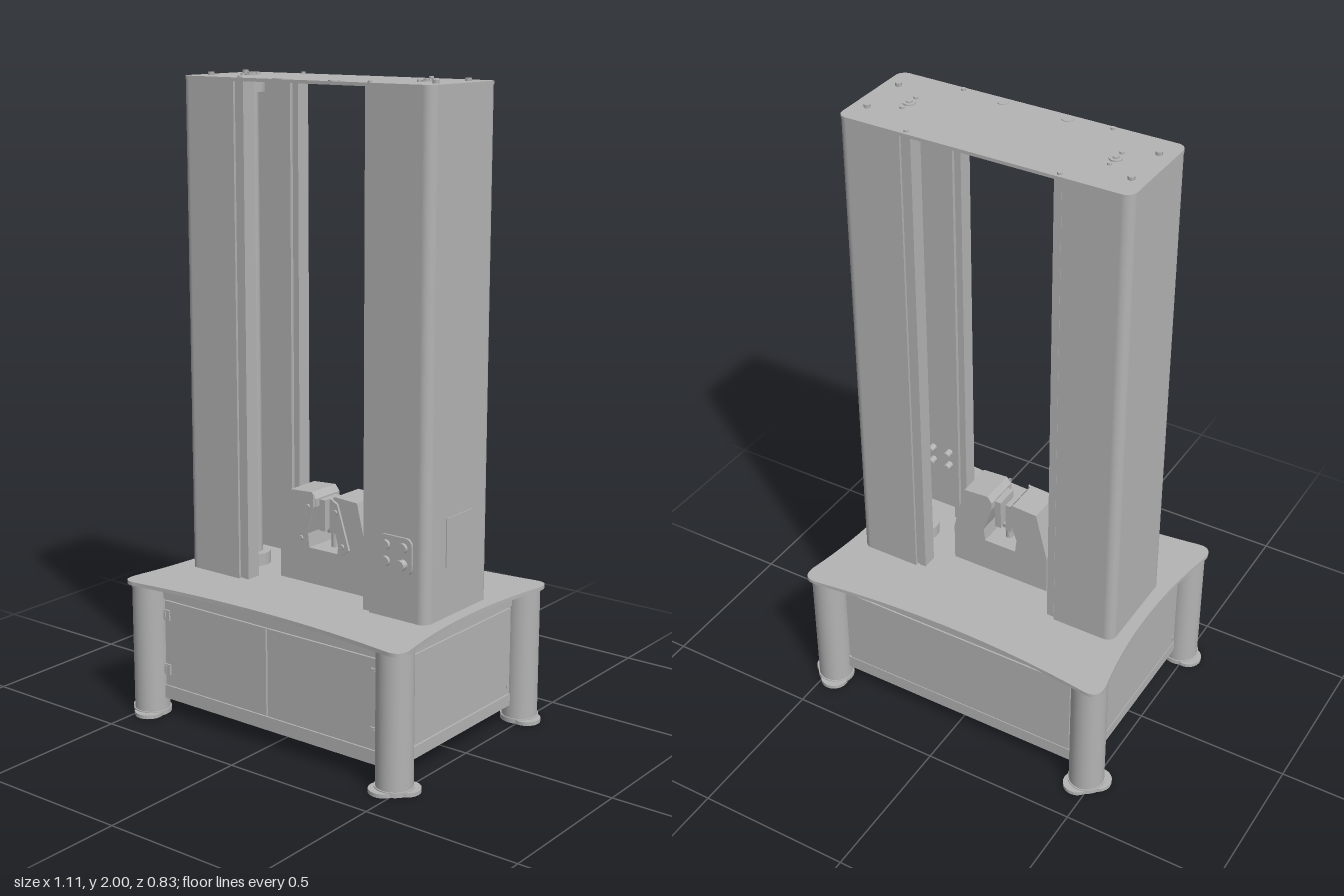
import * as THREE from 'three';

export function createModel() {
  const root = new THREE.Group();
  const grey = new THREE.MeshStandardMaterial({ color: 0xb4b4b4 });
  grey.name = 'machineGrey';

  const add = (name, geo, x = 0, y = 0, z = 0, parent = root) => {
    const m = new THREE.Mesh(geo, grey);
    m.name = name;
    m.position.set(x, y, z);
    parent.add(m);
    return m;
  };
  const box = (name, w, h, d, x, y, z, parent) => add(name, new THREE.BoxGeometry(w, h, d), x, y, z, parent);
  const cyl = (name, r, h, x, y, z, parent, seg = 24) => add(name, new THREE.CylinderGeometry(r, r, h, seg), x, y, z, parent);
  const knob = (name, r, h, x, y, z, parent) => {
    const m = cyl(name, r, h, x, y, z, parent);
    m.rotation.x = Math.PI / 2;
    return m;
  };
  const extrude = (shape, depth) => new THREE.ExtrudeGeometry(shape, { depth, bevelEnabled: false, curveSegments: 16 });
  const slab = (shape, h) => extrude(shape, h).rotateX(-Math.PI / 2);
  const polygon = pts => new THREE.Shape(pts.map(p => new THREE.Vector2(...p)));
  const roundRect = (w, h, r) => {
    const s = new THREE.Shape(), a = w / 2, b = h / 2, q = Math.PI / 2;
    s.absarc(a - r, b - r, r, 0, q);
    s.absarc(r - a, b - r, r, q, 2 * q);
    s.absarc(r - a, r - b, r, 2 * q, 3 * q);
    s.absarc(a - r, r - b, r, 3 * q, 4 * q);
    s.closePath();
    return s;
  };

  // Table top with four concave edges
  const table = new THREE.Shape();
  table.moveTo(-0.49, 0.395);
  table.quadraticCurveTo(0, 0.325, 0.49, 0.395);
  table.quadraticCurveTo(0.545, 0.4, 0.533, 0.335);
  table.quadraticCurveTo(0.467, 0, 0.533, -0.335);
  table.quadraticCurveTo(0.545, -0.4, 0.49, -0.395);
  table.quadraticCurveTo(0, -0.325, -0.49, -0.395);
  table.quadraticCurveTo(-0.545, -0.4, -0.533, -0.335);
  table.quadraticCurveTo(-0.467, 0, -0.533, 0.335);
  table.quadraticCurveTo(-0.545, 0.4, -0.49, 0.395);
  add('tableTop', slab(table, 0.012), 0, 0.428, 0);

  // Legs with lobed, drilled foot plates
  const lobe = (r, h) => {
    const s = new THREE.Shape();
    s.absarc(0, 0, r, 0, Math.PI * 2);
    const hole = new THREE.Path();
    hole.absarc(0.012, 0, 0.007, 0, Math.PI * 2, true);
    s.holes.push(hole);
    return slab(s, h);
  };
  for (const sx of [-1, 1]) for (const sz of [-1, 1]) {
    const leg = new THREE.Group();
    leg.name = 'leg';
    leg.position.set(sx * 0.477, 0, sz * 0.335);
    root.add(leg);
    cyl('legPost', 0.056, 0.413, 0, 0.2215, 0, leg, 40);
    cyl('footDisc', 0.06, 0.015, 0, 0.0075, 0, leg, 40);
    const side = add('footLobeSide', lobe(0.045, 0.012), sx * 0.033, 0, -sz * 0.012, leg);
    side.rotation.y = sx > 0 ? 0 : Math.PI;
    const end = add('footLobeEnd', lobe(0.045, 0.012), -sx * 0.015, 0, sz * 0.033, leg);
    end.rotation.y = -sz * Math.PI / 2;
  }

  // Cabinet walls, open underneath
  for (const s of [-1, 1]) {
    box('cabinetLongWall', 0.93, 0.373, 0.012, 0, 0.2415, s * 0.322);
    box('cabinetEndWall', 0.012, 0.373, 0.64, s * 0.464, 0.2415, 0);
    box('endPanel', 0.008, 0.28, 0.545, s * 0.472, 0.24, 0);
    box('endTopStrip', 0.008, 0.04, 0.56, s * 0.472, 0.406, 0);
    box('endBottomStrip', 0.008, 0.038, 0.56, s * 0.472, 0.076, 0);
    box('longTopStrip', 0.85, 0.04, 0.008, 0, 0.407, s * 0.331);
    box('longBottomStrip', 0.85, 0.043, 0.008, 0, 0.0765, s * 0.331);
    box('bottomFlange', 0.92, 0.006, 0.04, 0, 0.058, s * 0.3);
    // Underside channel beams
    box('beamWeb', 0.92, 0.01, 0.13, 0, 0.09, s * 0.19);
    for (const e of [-1, 1]) box('beamFlange', 0.92, 0.03, 0.008, 0, 0.075, s * 0.19 + e * 0.061);
    // Doors with hinges
    box('door', 0.411, 0.28, 0.008, s * 0.2085, 0.241, 0.331);
    for (const y of [0.155, 0.335]) {
      box('hingeLeaf', 0.022, 0.034, 0.008, s * 0.404, y, 0.337);
      box('hingePin', 0.008, 0.024, 0.014, s * 0.41, y, 0.337);
    }
    for (const z of [-0.26, 0.26]) box('panelScrew', 0.006, 0.01, 0.01, s * 0.476, 0.125, z);
  }
  box('rearPanel', 0.82, 0.28, 0.008, 0, 0.241, -0.331);

  // Hollow columns open to the inside; one is turned half round
  const channel = new THREE.Shape();
  channel.moveTo(0.255, -0.163);
  channel.lineTo(0.43, -0.163);
  channel.absarc(0.43, -0.133, 0.03, -Math.PI / 2, 0);
  channel.absarc(0.43, 0.133, 0.03, 0, Math.PI / 2);
  channel.lineTo(0.255, 0.163);
  channel.lineTo(0.255, 0.155);
  channel.lineTo(0.43, 0.155);
  channel.absarc(0.43, 0.133, 0.022, Math.PI / 2, 0, true);
  channel.absarc(0.43, -0.133, 0.022, 0, -Math.PI / 2, true);
  channel.lineTo(0.255, -0.155);
  channel.closePath();
  for (const s of [-1, 1]) {
    const column = new THREE.Group();
    column.name = s > 0 ? 'leftColumn' : 'rightColumn';
    column.rotation.y = s > 0 ? 0 : Math.PI;
    root.add(column);
    add('columnShell', slab(channel, 1.54), 0, 0.44, 0, column);
    for (const e of [-1, 1]) {
      box('guideRail', 0.024, 1.54, 0.05, 0.237, 1.21, e * 0.128, column);
      box('railBacking', 0.03, 1.54, 0.04, 0.262, 1.21, e * 0.13, column);
      box('railLip', 0.008, 1.54, 0.012, 0.25, 1.21, e * 0.096, column);
    }
    cyl('leadScrew', 0.024, 1.54, 0.327, 1.21, 0, column);
    cyl('screwBearing', 0.05, 0.04, 0.327, 0.46, 0, column);
    cyl('screwBearing', 0.045, 0.04, 0.327, 1.96, 0, column);
  }

  // Top plate with its fasteners
  add('topPlate', slab(roundRect(0.922, 0.328, 0.03), 0.01), 0, 1.98, 0);
  for (const s of [-1, 1]) {
    cyl('screwCap', 0.019, 0.005, s * 0.327, 1.9915, 0);
    cyl('screwCapNut', 0.009, 0.008, s * 0.327, 1.994, 0, root, 6);
    cyl('plug', 0.017, 0.003, s * 0.104, 1.9905, 0.139);
    for (const e of [-1, 1]) {
      cyl('plateBolt', 0.01, 0.012, s * 0.415, 1.994, e * 0.08, root, 6);
      cyl('smallBolt', 0.007, 0.007, s * 0.24, 1.9925, e * 0.149);
      cyl('capBolt', 0.007, 0.007, s * 0.327, 1.9925, e * 0.036);
    }
  }

  // Lower grip: slotted block, face plates, jaws and clamp bolt
  const grip = new THREE.Group();
  grip.name = 'lowerGrip';
  root.add(grip);
  const half = [[0.17, 0.44], [0.17, 0.57], [0.13, 0.73], [0.045, 0.735], [0.03, 0.715], [0.03, 0.69], [0.06, 0.6], [0.055, 0.555]];
  const mirror = half.map(([x, y]) => [-x, y]).reverse();
  add('gripBlock', extrude(polygon([...half, ...mirror]), 0.12), 0, 0, -0.06, grip);
  for (const s of [-1, 1]) {
    const plate = [[0.033, 0.73], [0.06, 0.715], [0.105, 0.575], [0.075, 0.555], [0.06, 0.6], [0.033, 0.69]];
    add('gripFacePlate', extrude(polygon(plate.map(([x, y]) => [s * x, y])), 0.008), 0, 0, 0.06, grip);
    knob('facePlateBolt', 0.008, 0.008, s * 0.053, 0.69, 0.07, grip);
    knob('facePlateBolt', 0.008, 0.008, s * 0.08, 0.585, 0.07, grip);
    box('jaw', 0.022, 0.1, 0.08, s * 0.02, 0.66, 0, grip);
  }
  cyl('clampBolt', 0.012, 0.06, 0, 0.58, 0, grip);
  cyl('clampBoltHead', 0.024, 0.014, 0, 0.61, 0, grip);
  box('gripLatch', 0.018, 0.022, 0.03, 0.174, 0.588, 0.01, grip);

  // Control panel with four buttons
  const panel = new THREE.Group();
  panel.name = 'controlPanel';
  panel.position.set(0.352, 0.64, 0.163);
  root.add(panel);
  add('panelPlate', extrude(roundRect(0.12, 0.112, 0.022), 0.007), 0, 0, 0, panel);
  for (const x of [-0.031, 0.031]) for (const y of [-0.024, 0.026]) {
    const tall = x > 0 && y < 0;
    knob('button', 0.015, tall ? 0.016 : 0.012, x, y, tall ? 0.014 : 0.011, panel);
    knob('switchBody', 0.012, 0.03, x, y, -0.02, panel);
    if (tall) knob('stopButtonCap', 0.017, 0.008, x, y, 0.026, panel);
  }

  // Side access plate and limit switch
  box('accessPlate', 0.005, 0.15, 0.13, 0.461, 0.67, 0);
  box('limitSwitch', 0.014, 0.032, 0.02, 0.219, 1.842, 0.12);
  return root;
}
